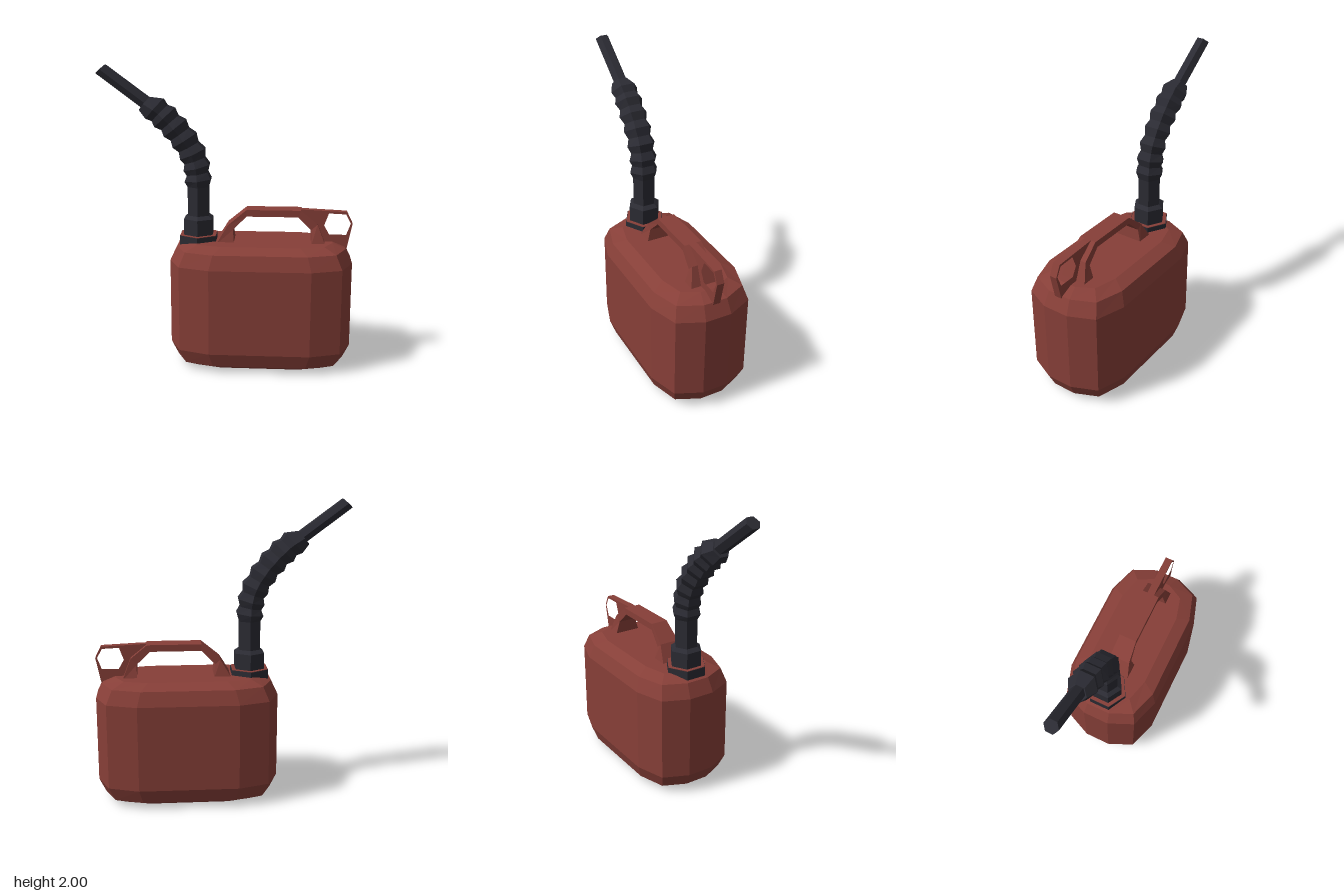
import * as THREE from 'three';

// Flat-faced loft through closed rings of points, capped at both ends.
// Rings run counter-clockwise around the direction of travel.
function loft(rings) {
  const pos = [];
  const tri = (...pts) => pts.forEach((p) => pos.push(p.x, p.y, p.z));
  const n = rings[0].length;
  for (let r = 0; r < rings.length - 1; r++) {
    const a = rings[r], b = rings[r + 1];
    for (let i = 0; i < n; i++) {
      const j = (i + 1) % n;
      tri(a[i], a[j], b[j]);
      tri(a[i], b[j], b[i]);
    }
  }
  const first = rings[0], last = rings[rings.length - 1];
  for (let i = 1; i < n - 1; i++) {
    tri(first[0], first[i + 1], first[i]);
    tri(last[0], last[i], last[i + 1]);
  }
  const g = new THREE.BufferGeometry();
  g.setAttribute('position', new THREE.Float32BufferAttribute(pos, 3));
  g.computeVertexNormals();
  return g;
}

// Hexagonal ring leaning by a degrees towards -x, with corners on the z sides.
function hexRing([x, y, r, a = 0]) {
  const lean = THREE.MathUtils.degToRad(a);
  return Array.from({ length: 6 }, (_, k) => {
    const t = Math.PI / 6 + (k * Math.PI) / 3;
    const u = r * Math.cos(t);
    return new THREE.Vector3(x + u * Math.cos(lean), y + u * Math.sin(lean), -r * Math.sin(t));
  });
}

export function createModel() {
  const red = new THREE.MeshStandardMaterial({ color: 0x873f38 });
  red.name = 'red plastic';
  const black = new THREE.MeshStandardMaterial({ color: 0x2b2b33 });
  black.name = 'black plastic';

  const model = new THREE.Group();
  model.name = 'fuelCan';
  const add = (name, geometry, material) => {
    const mesh = new THREE.Mesh(geometry, material);
    mesh.name = name;
    model.add(mesh);
    return mesh;
  };

  // Can body: twelve-sided footprint, drawn in at the top and bottom
  const quarter = [[0.605, 0.09], [0.53, 0.26], [0.33, 0.325]];
  const back = [...quarter].reverse();
  const outline = [
    ...quarter,
    ...back.map(([x, z]) => [-x, z]),
    ...quarter.map(([x, z]) => [-x, -z]),
    ...back.map(([x, z]) => [x, -z]),
  ];
  const levels = [
    [0, 0.475, 0.21], [0.045, 0.56, 0.293], [0.14, 0.605, 0.325],
    [0.715, 0.605, 0.325], [0.81, 0.56, 0.293], [0.845, 0.475, 0.21],
  ];
  add('body', loft(levels.map(([y, hx, hz]) => outline.map(([x, z]) =>
    new THREE.Vector3(0.237 + (x * hx) / 0.605, y, (-z * hz) / 0.325)))), red);

  // Carrying handle: outer point, inner point, half width
  const arch = [
    [-0.06, 0.83, 0.06, 0.83, 0.095],
    [0.015, 0.955, 0.05, 0.925, 0.07],
    [0.14, 1.06, 0.14, 1.015, 0.06],
    [0.5, 1.06, 0.48, 1.015, 0.06],
    [0.61, 0.97, 0.57, 0.93, 0.065],
    [0.665, 0.83, 0.57, 0.83, 0.095],
  ];
  add('handle', loft(arch.map(([ox, oy, ix, iy, w]) => [
    new THREE.Vector3(ox, oy, -w), new THREE.Vector3(ox, oy, w),
    new THREE.Vector3(ix, iy, w), new THREE.Vector3(ix, iy, -w),
  ])), red);

  // Thin rear grip loop behind the handle
  const toPoints = (list) => list.map(([x, y]) => new THREE.Vector2(x, y));
  const fin = new THREE.Shape(toPoints([
    [0.49, 1.06], [0.53, 1.06], [0.805, 1.047], [0.843, 0.97], [0.808, 0.8], [0.6, 0.83], [0.6, 0.96],
  ]));
  fin.holes.push(new THREE.Path(toPoints([
    [0.655, 0.955], [0.685, 1.037], [0.798, 1.032], [0.831, 0.97], [0.802, 0.893], [0.69, 0.893],
  ])));
  const finGeometry = new THREE.ExtrudeGeometry(fin, { depth: 0.05, bevelEnabled: false });
  finGeometry.translate(0, 0, -0.025);
  add('rearGrip', finGeometry, red);

  // Collar and its red top plate
  const cx = -0.183;
  add('collar', loft([[cx, 0.8, 0.14], [cx, 0.88, 0.14]].map(hexRing)), black);
  add('collarTop', new THREE.CylinderGeometry(0.137, 0.137, 0.004, 6), red)
    .position.set(cx, 0.881, 0);

  // Screw cap and straight neck
  add('capAndNeck', loft([
    [cx, 0.87, 0.11], [cx, 0.99, 0.11], [cx, 1.012, 0.08], [cx, 1.215, 0.08],
  ].map(hexRing)), black);

  // Bent bellows: ridges with a groove halfway between each pair
  const ridges = [
    [-0.185, 1.25, 0.1, 6], [-0.193, 1.335, 0.1, 14], [-0.22, 1.425, 0.1, 24],
    [-0.273, 1.514, 0.1, 32], [-0.335, 1.593, 0.1, 38], [-0.402, 1.662, 0.1, 43],
    [-0.468, 1.718, 0.095, 48],
  ];
  const bellows = [[cx, 1.205, 0.08, 0]];
  ridges.forEach((ridge, i) => {
    bellows.push(ridge);
    const next = ridges[i + 1];
    if (next) bellows.push(ridge.map((v, k) => (k === 2 ? 0.08 : (v + next[k]) / 2)));
  });
  bellows.push([-0.535, 1.752, 0.06, 50]);
  add('bellows', loft(bellows.map(hexRing)), black);

  // Pouring spout
  add('spout', loft([[-0.5, 1.738, 0.047, 53], [-0.817, 1.973, 0.047, 42]].map(hexRing)), black);

  return model;
}
